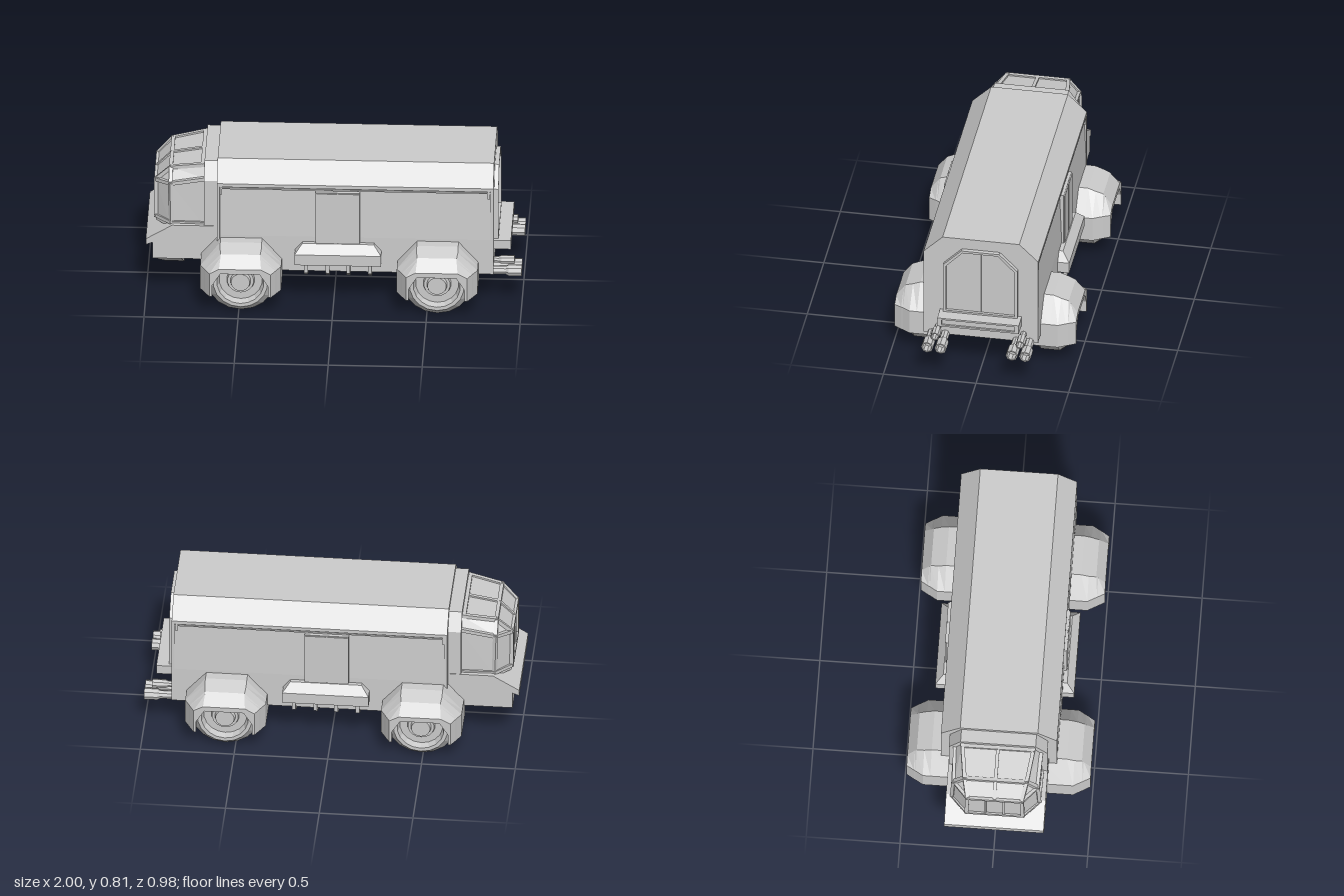
import * as THREE from 'three';

const mat = new THREE.MeshStandardMaterial({ color: 0xcccccc, flatShading: true });

export function createModel() {
  const root = new THREE.Group();
  root.name = 'armouredTruck';

  const add = (name, geo, parent = root) => {
    const m = new THREE.Mesh(geo, mat);
    m.name = name;
    parent.add(m);
    return m;
  };
  // box from its min and max corners
  const box = (name, [x0, y0, z0], [x1, y1, z1], parent) => {
    const g = new THREE.BoxGeometry(x1 - x0, y1 - y0, z1 - z0);
    g.translate((x0 + x1) / 2, (y0 + y1) / 2, (z0 + z1) / 2);
    return add(name, g, parent);
  };
  const toShape = pts => new THREE.Shape(pts.map(p => new THREE.Vector2(...p)));
  // right half of a [z, y] outline mirrored into a full outline
  const mirror = half => [...half, ...half.map(([z, y]) => [-z, y]).reverse()];
  // symmetric [z, y] section pushed along x
  const extrudeX = (name, half, x0, x1, holeHalf) => {
    const s = toShape(mirror(half));
    if (holeHalf) s.holes.push(toShape(mirror(holeHalf)));
    const g = new THREE.ExtrudeGeometry(s, { depth: x1 - x0, bevelEnabled: false });
    g.rotateY(Math.PI / 2).translate(x0, 0, 0);
    return add(name, g);
  };
  // closed loft through [w, outline] sections along an axis, with flat caps
  const place = { x: (u, v, w) => [w, u, v], y: (u, v, w) => [v, w, u], z: (u, v, w) => [u, v, w] };
  const loft = (sections, axis) => {
    const n = sections[0][1].length, pos = [], idx = [];
    sections.forEach(([w, pts]) => pts.forEach(([u, v]) => pos.push(...place[axis](u, v, w))));
    for (let i = 0; i < sections.length - 1; i++) {
      for (let j = 0; j < n; j++) {
        const a = i * n + j, b = i * n + (j + 1) % n;
        idx.push(a, b, b + n, a, b + n, a + n);
      }
    }
    [0, sections.length - 1].forEach((s, end) => {
      const v = sections[s][1].map(p => new THREE.Vector2(...p));
      THREE.ShapeUtils.triangulateShape(v, []).forEach(([a, b, c]) => {
        const o = s * n;
        idx.push(o + a, ...(end ? [o + b, o + c] : [o + c, o + b]));
      });
    });
    const g = new THREE.BufferGeometry();
    g.setAttribute('position', new THREE.Float32BufferAttribute(pos, 3));
    g.setIndex(idx);
    const flat = g.toNonIndexed();
    flat.computeVertexNormals();
    return flat;
  };
  const rect = (u0, v0, u1, v1) => [[u0, v0], [u1, v0], [u1, v1], [u0, v1]];
  // square bar between two points
  const bar = (name, a, b, t, parent) => {
    const A = new THREE.Vector3(...a), B = new THREE.Vector3(...b);
    const m = add(name, new THREE.BoxGeometry(t, t, A.distanceTo(B) + t * 0.6), parent);
    m.position.copy(A).add(B).multiplyScalar(0.5);
    m.lookAt(B);
    return m;
  };
  const lathe = (pts, sides) => new THREE.LatheGeometry(pts.map(p => new THREE.Vector2(...p)), sides);

  // Cargo hull: tapered walls under an overhanging faceted roof, full end frames
  extrudeX('hullWalls', [[0.308, 0.195], [0.308, 0.4], [0.297, 0.7]], -0.61, 0.84);
  extrudeX('roof', [[0.309, 0.69], [0.309, 0.71], [0.207, 0.81]], -0.62, 0.85);
  const endFrame = [[0.309, 0.195], [0.309, 0.71], [0.207, 0.81]];
  extrudeX('frontFrame', endFrame, -0.62, -0.605);
  extrudeX('rearFrame', endFrame, 0.835, 0.85);

  // Collar between hull and cab
  extrudeX('cabCollar', [[0.262, 0.23], [0.262, 0.7], [0.2, 0.79]], -0.69, -0.61);

  // Cab glazing
  const cabRing = (sz, sy, tz, ty, bz) =>
    [[0.4, -bz], [sy, -sz], [ty, -tz], [ty, tz], [sy, sz], [0.4, bz]];
  add('cabGlass', loft([
    [-0.95, cabRing(0.145, 0.64, 0.135, 0.65, 0.15)],
    [-0.87, cabRing(0.222, 0.66, 0.165, 0.728, 0.23)],
    [-0.68, cabRing(0.23, 0.695, 0.19, 0.762, 0.235)],
  ], 'x'));

  // Cab window frames
  const frames = new THREE.Group();
  frames.name = 'cabFrames';
  root.add(frames);
  for (const s of [1, -1]) {
    const low = [-0.95, 0.43, 0.15 * s], brow = [-0.95, 0.645, 0.145 * s];
    const sideLow = [-0.865, 0.43, 0.23 * s], sideBrow = [-0.87, 0.66, 0.222 * s];
    const top = [-0.87, 0.728, 0.165 * s], rear = [-0.69, 0.76, 0.19 * s];
    const rearSide = [-0.69, 0.695, 0.23 * s];
    [[low, brow], [low, sideLow], [brow, sideBrow], [sideLow, sideBrow], [brow, top],
      [sideBrow, top], [top, rear], [sideBrow, rearSide], [sideLow, [-0.69, 0.43, 0.235 * s]],
    ].forEach(([a, b]) => bar('windowFrame', a, b, 0.02, frames));
    bar('windscreenPost', [-0.95, 0.43, 0.05 * s], [-0.95, 0.645, 0.05 * s], 0.012, frames);
  }
  [[-0.95, 0.43, 0.15], [-0.95, 0.645, 0.145], [-0.87, 0.728, 0.165], [-0.7, 0.758, 0.19]]
    .forEach(([x, y, z]) => bar('crossFrame', [x, y, -z], [x, y, z], 0.02, frames));
  bar('centreFrame', [-0.95, 0.645, 0], [-0.87, 0.728, 0], 0.018, frames);
  bar('centreFrame', [-0.87, 0.728, 0], [-0.69, 0.76, 0], 0.018, frames);

  // Nose with protruding bumper, and the tapered chin below it
  const nose = new THREE.ExtrudeGeometry(toShape([[-1, 0.31], [-0.965, 0.325], [-0.965, 0.23],
    [-0.61, 0.23], [-0.61, 0.43], [-0.86, 0.43], [-1, 0.345]]), { depth: 0.53, bevelEnabled: false });
  add('noseBumper', nose.translate(0, 0, -0.265));
  add('chin', loft([
    [0.138, rect(-0.12, -0.9, 0.12, -0.8)],
    [0.165, rect(-0.16, -0.925, 0.16, -0.805)],
    [0.232, rect(-0.262, -0.965, 0.262, -0.815)],
  ], 'y'));

  // Rear double door
  const doorIn = [[0.185, 0.362], [0.185, 0.642], [0.096, 0.735]];
  extrudeX('rearDoorFrame', [[0.2, 0.35], [0.2, 0.65], [0.102, 0.748]], 0.845, 0.873, doorIn);
  extrudeX('rearDoor', doorIn, 0.845, 0.858);
  box('rearDoorSeam', [0.85, 0.365, -0.004], [0.864, 0.735, 0.004]);

  // Rear step with a recessed face
  extrudeX('rearStep', [[0.22, 0.3], [0.22, 0.352]], 0.845, 0.94, [[0.197, 0.31], [0.197, 0.342]]);
  box('rearStepPanel', [0.845, 0.305, -0.2], [0.93, 0.345, 0.2]);

  // Exhaust clusters, hollow at the tips
  const exhaust = (z, y, r, x1) => {
    const g = lathe([[0, 0.8], [r * 0.72, 0.8], [r * 0.72, x1 - 0.085], [r, x1 - 0.07], [r, x1],
      [r * 0.78, x1], [r * 0.78, x1 - 0.05], [0, x1 - 0.05]], 8);
    add('exhaustPipe', g.rotateZ(-Math.PI / 2).translate(0, y, z));
  };
  for (const s of [1, -1]) {
    exhaust(0.264 * s, 0.198, 0.032, 1);
    exhaust(0.192 * s, 0.198, 0.032, 1);
    exhaust(0.23 * s, 0.244, 0.024, 0.96);
  }

  // Side doors, eave trim and side lockers, repeated on both sides
  for (const s of [0, Math.PI]) {
    const side = new THREE.Group();
    side.name = s ? 'rightSide' : 'leftSide';
    root.add(side);
    if (s) side.scale.z = -1;
    box('sideDoor', [-0.095, 0.37, 0.29], [0.14, 0.672, 0.32], side);
    box('sideDoorLeaf', [-0.09, 0.37, 0.3], [0.018, 0.668, 0.326], side);
    box('sideDoorLeaf', [0.026, 0.37, 0.3], [0.135, 0.668, 0.326], side);
    box('eaveTrim', [-0.605, 0.676, 0.29], [0.835, 0.684, 0.306], side);
    for (const x of [-0.6, 0.825]) box('eaveBracket', [x - 0.006, 0.645, 0.29], [x + 0.006, 0.69, 0.308], side);
    add('sideLocker', loft([
      [0.26, rect(0.29, -0.205, 0.37, 0.255)],
      [0.322, rect(0.29, -0.205, 0.37, 0.255)],
      [0.37, rect(0.29, -0.165, 0.33, 0.215)],
    ], 'y'), side);
  }

  // Wheel and fender assemblies
  const wheelGeo = lathe([[0, -0.0975], [0.06, -0.0975], [0.06, -0.07], [0.11, -0.07], [0.125, -0.0975],
    [0.145, -0.0975], [0.185, -0.05], [0.185, 0.05], [0.145, 0.0975], [0.125, 0.0975], [0.115, 0.06],
    [0.075, 0.06], [0.07, 0.075], [0.055, 0.075], [0.05, 0.095], [0, 0.095]], 18)
    .rotateX(Math.PI / 2).translate(0, 0.185, 0.3425);
  // U-shaped section from outer and inner half widths and heights
  const arch = (ow, oy, otw, oty, iw, iy, itw, ity) => {
    const up = (w, y, tw, ty) => [[w, 0.125], [w, y], [tw, ty], [-tw, ty], [-w, y], [-w, 0.125]];
    return [...up(ow, oy, otw, oty), ...up(iw, iy, itw, ity).reverse()];
  };
  const fenderGeo = loft([
    [0.21, arch(0.215, 0.265, 0.11, 0.388, 0.2, 0.26, 0.105, 0.374)],
    [0.36, arch(0.215, 0.265, 0.11, 0.385, 0.2, 0.26, 0.105, 0.372)],
    [0.4, arch(0.215, 0.265, 0.11, 0.37, 0.195, 0.255, 0.105, 0.355)],
    [0.44, arch(0.192, 0.265, 0.105, 0.355, 0.175, 0.25, 0.1, 0.33)],
    [0.45, arch(0.187, 0.265, 0.105, 0.342, 0.15, 0.19, 0.105, 0.262)],
    [0.49, arch(0.163, 0.262, 0.112, 0.29, 0.15, 0.19, 0.105, 0.262)],
  ], 'z');
  for (const x of [-0.49, 0.555]) {
    for (const r of [0, Math.PI]) {
      const unit = new THREE.Group();
      unit.name = 'wheelUnit';
      unit.position.x = x;
      unit.rotation.y = r;
      add('wheel', wheelGeo, unit);
      add('fender', fenderGeo, unit);
      root.add(unit);
    }
    // axle with a thicker casing
    const axle = lathe([[0, -0.3], [0.016, -0.3], [0.016, -0.15], [0.024, -0.135], [0.024, 0.135],
      [0.016, 0.15], [0.016, 0.3], [0, 0.3]], 10);
    add('axle', axle.rotateX(Math.PI / 2).translate(x, 0.175, 0));
  }

  // Drive shaft and underfloor ribs that bend up to the lockers
  const shaft = lathe([[0, -0.49], [0.015, -0.49], [0.015, -0.2], [0.024, -0.18], [0.024, 0.22],
    [0.015, 0.24], [0.015, 0.555], [0, 0.555]], 10);
  add('driveShaft', shaft.rotateZ(-Math.PI / 2).translate(0, 0.18, 0));
  for (const x of [-0.145, -0.03, 0.08, 0.195]) {
    bar('underRib', [x, 0.183, -0.3], [x, 0.183, 0.3], 0.02);
    for (const s of [1, -1]) {
      bar('ribBend', [x, 0.183, 0.3 * s], [x, 0.21, 0.34 * s], 0.02);
      bar('ribHanger', [x, 0.21, 0.34 * s], [x, 0.265, 0.34 * s], 0.02);
    }
  }
  return root;
}
